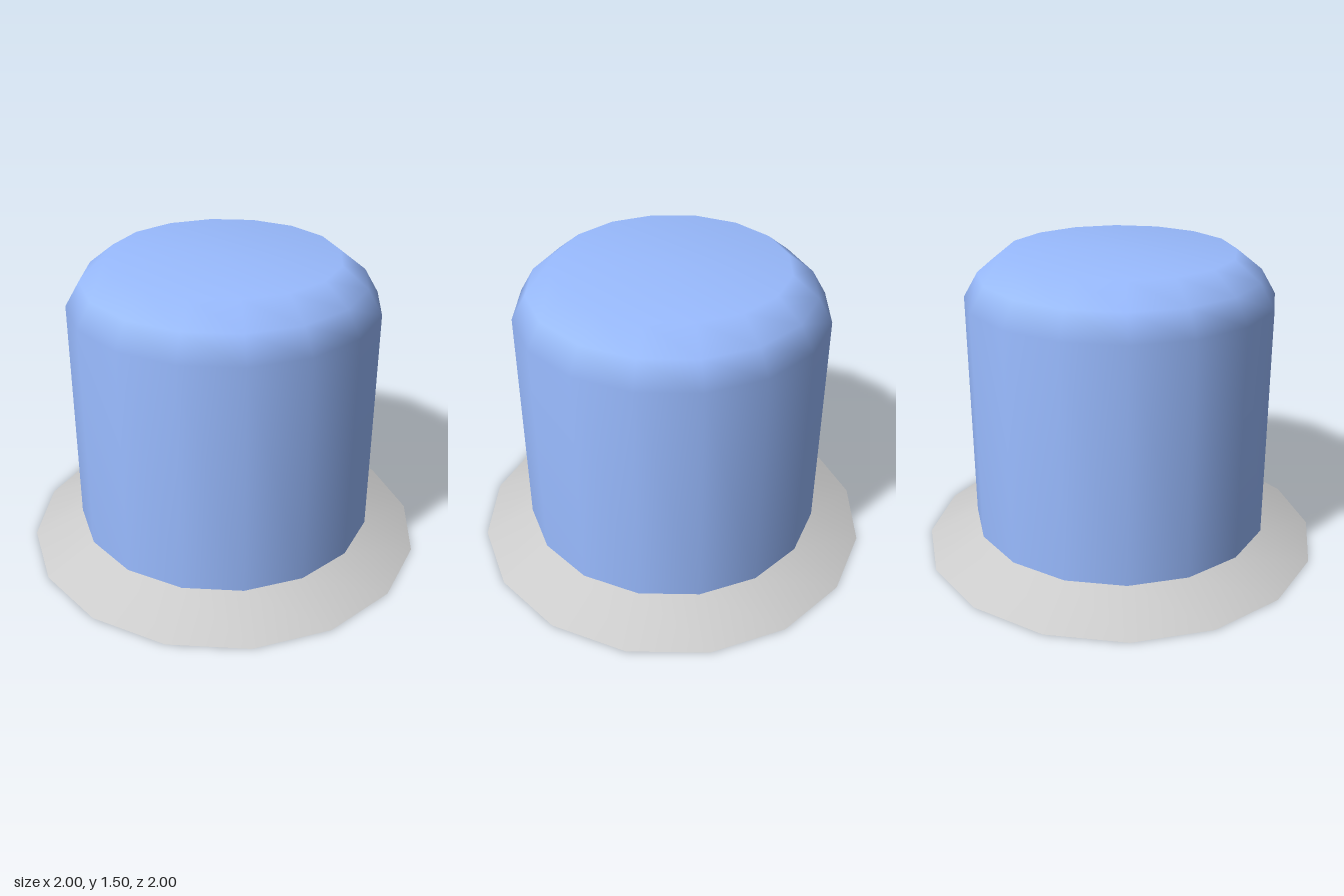
import * as THREE from 'three';

const SIDES = 16;

// Revolve a [radius, height] profile around the vertical axis
function revolve(name, profile, material) {
  const points = profile.map(([r, y]) => new THREE.Vector2(r, y));
  const mesh = new THREE.Mesh(new THREE.LatheGeometry(points, SIDES), material);
  mesh.name = name;
  return mesh;
}

export function createModel() {
  const group = new THREE.Group();
  group.name = 'domedCap';

  const blue = new THREE.MeshStandardMaterial({ color: 0x99bbff });
  const grey = new THREE.MeshStandardMaterial({ color: 0xcccccc, side: THREE.DoubleSide });

  // Straight wall with a rounded shoulder and flat top
  group.add(revolve('dome', [[0.75, 0.125], [0.75, 1.28], [0.68, 1.4], [0.555, 1.5], [0, 1.5]], blue));

  // Thin sloping skirt, open underneath
  group.add(revolve('flange', [[1, 0], [0.75, 0.125]], grey));

  // Disc closing the bottom of the dome, recessed inside the skirt
  group.add(revolve('basePlate', [[0, 0.125], [0.75, 0.125]], grey));

  return group;
}
